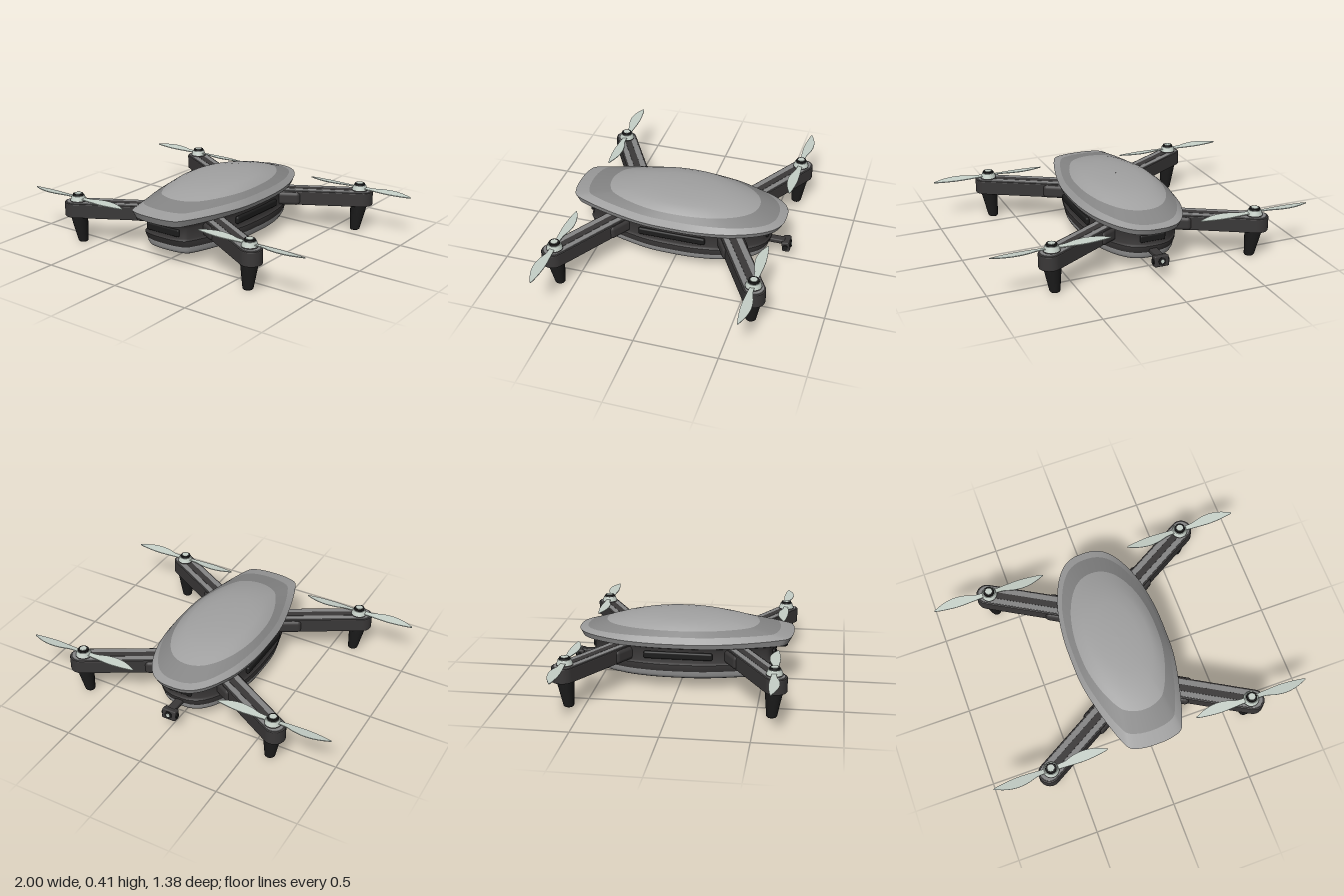
import * as THREE from 'three';
import { RoundedBoxGeometry } from 'three/addons/geometries/RoundedBoxGeometry.js';

const mat = (color, side = THREE.FrontSide) => new THREE.MeshStandardMaterial({ color, side });
const shellGrey = mat(0x9c9c9c), bandGrey = mat(0x858585), centreGrey = mat(0xa2a2a2);
const dark = mat(0x3a3838), black = mat(0x1c1c1c), pale = mat(0xc6d0c8, THREE.DoubleSide);

function add(parent, name, geometry, material, x = 0, y = 0, z = 0) {
  const mesh = new THREE.Mesh(geometry, material);
  mesh.name = name;
  mesh.position.set(x, y, z);
  parent.add(mesh);
  return mesh;
}

// Plan outline of the hull, blunt at the front and rounder at the back, scaled to +-1
const half = [[0, .683], [.1, .675], [.165, .648], [.19, .6], [.225, .5], [.27, .33], [.3, .17], [.307, 0],
  [.304, -.15], [.28, -.32], [.25, -.42], [.2, -.53], [.14, -.605], [.075, -.64], [0, -.648]];
const loop = [...half, ...half.slice(1, -1).reverse().map(([x, z]) => [-x, z])];
const outline = new THREE.CatmullRomCurve3(
  loop.map(([x, z]) => new THREE.Vector3(x / .307, 0, z > 0 ? z / .683 : z / .648)), true, 'centripetal'
).getPoints(112).slice(0, -1);

// Skin through rings, listed upwards: [half width, front z, back z, y at middle, front, back, ellipse blend]
function loft(rings) {
  const pos = [], index = [], n = outline.length;
  rings.forEach(([hw, zf, zb, ym, yf = ym, yb = ym, e = 0], r) => {
    outline.forEach((p, i) => {
      const k = THREE.MathUtils.lerp(1, 1 / Math.hypot(p.x, p.z), e), u = p.x * k, v = p.z * k;
      pos.push(u * hw, ym + ((v > 0 ? yf : yb) - ym) * v * v, v > 0 ? v * zf : -v * zb);
      if (r === rings.length - 1) return;
      const a = r * n + i, b = r * n + (i + 1) % n;
      index.push(a, b, b + n, a, b + n, a + n);
    });
  });
  const g = new THREE.BufferGeometry();
  g.setAttribute('position', new THREE.Float32BufferAttribute(pos, 3));
  g.setIndex(index);
  g.computeVertexNormals();
  return g;
}

function buildBody() {
  const body = new THREE.Group();
  body.name = 'body';
  // Upper canopy in three bands with sharp seams between them
  const lip = [.308, .685, -.65, .295, .315, .3];
  const shoulder = [.284, .6, -.6, .333, .335, .312, .15];
  const crown = [.25, .47, -.48, .362, .363, .353, .6];
  const under = [.295, .662, -.63, .265, .27, .262];
  add(body, 'canopyUnderside', loft([[.001, .001, -.001, .25], [.26, .58, -.56, .25], under]), dark);
  add(body, 'canopyRim', loft([under, lip]), shellGrey);
  add(body, 'canopyOuterBand', loft([lip, shoulder]), shellGrey);
  add(body, 'canopyMiddleBand', loft([shoulder, crown]), bandGrey);
  add(body, 'canopyTop', loft([crown, [.225, .41, -.42, .381, .378, .37, .75], [.19, .33, -.34, .397, .393, .389, .9],
    [.13, .23, -.24, .407, .406, .405, 1], [.06, .1, -.1, .411, .411, .411, 1], [.001, .001, -.001, .412]]), centreGrey);

  // Lower hull: dark belly plate, light strip and dark side wall
  const bellyEdge = [.25, .53, -.515, .065], stripTop = [.278, .562, -.55, .115];
  add(body, 'belly', loft([[.001, .001, -.001, .065], bellyEdge]), black);
  add(body, 'lowerTrim', loft([bellyEdge, [.264, .548, -.535, .073], [.273, .557, -.545, .09], stripTop]), shellGrey);
  add(body, 'sideWall', loft([stripTop, [.284, .572, -.56, .135], [.284, .582, -.565, .158]]), dark);
  add(body, 'upperWall', loft([[.284, .582, -.565, .158], [.272, .572, -.555, .17], [.272, .572, -.555, .235],
    [.28, .6, -.575, .262]]), dark);

  // Raised pads on the sides, intake at the front
  for (const s of [1, -1])
    add(body, 'sidePad', new RoundedBoxGeometry(.026, .046, .42, 4, .012), black, s * .27, .213, 0);
  add(body, 'frontIntake', new RoundedBoxGeometry(.24, .045, .02, 3, .009), black, 0, .205, .568);
  add(body, 'rearPanel', new RoundedBoxGeometry(.16, .045, .02, 3, .009), black, 0, .205, -.548);
  return body;
}

function buildCamera() {
  const camera = new THREE.Group();
  camera.name = 'camera';
  add(camera, 'cameraBracket', new RoundedBoxGeometry(.05, .03, .13, 2, .008), dark, 0, .125, -.585);
  const head = new THREE.Group();
  head.name = 'cameraHead';
  head.position.set(0, .106, -.66);
  head.rotation.x = .15;
  add(head, 'cameraHousing', new RoundedBoxGeometry(.09, .066, .046, 3, .008), dark);
  const ring = add(head, 'lensRing', new THREE.CylinderGeometry(.023, .023, .008, 24), black, 0, 0, -.024);
  const lens = add(head, 'lens', new THREE.CylinderGeometry(.011, .011, .004, 20), pale, 0, 0, -.0275);
  ring.rotation.x = lens.rotation.x = Math.PI / 2;
  for (const s of [1, -1]) {
    const pivot = add(head, 'cameraPivot', new THREE.CylinderGeometry(.016, .016, .012, 20), black, s * .045, 0, 0);
    pivot.rotation.z = Math.PI / 2;
  }
  camera.add(head);
  return camera;
}

// Flat bar with a round outer end, lying along local x
function barGeometry(x0, x1, r, height) {
  const s = new THREE.Shape();
  s.moveTo(x0, -r);
  s.lineTo(x1, -r);
  s.absarc(x1, 0, r, -Math.PI / 2, Math.PI / 2, false);
  s.lineTo(x0, r);
  s.closePath();
  const bevel = Math.min(.006, height / 4);
  const g = new THREE.ExtrudeGeometry(s, { depth: height - 2 * bevel, curveSegments: 16,
    bevelSize: bevel, bevelThickness: bevel, bevelOffset: -bevel, bevelSegments: 2 });
  return g.rotateX(-Math.PI / 2).translate(0, bevel, 0);
}

// One blade; the sign picks the turning direction
function bladeGeometry(sign) {
  const edge = [[.02, -.013], [.1, -.018], [.2, -.022], [.29, -.015], [.356, -.003],
    [.34, .01], [.28, .032], [.215, .041], [.15, .034], [.09, .017], [.02, .013]];
  const s = new THREE.Shape();
  s.moveTo(edge[0][0], sign * edge[0][1]);
  s.splineThru(edge.slice(1).map(([x, y]) => new THREE.Vector2(x, sign * y)));
  const g = new THREE.ExtrudeGeometry(s, { depth: .005, bevelEnabled: false, curveSegments: 50 });
  g.rotateX(Math.PI / 2);
  // Slight pitch across the blade
  const p = g.attributes.position;
  for (let i = 0; i < p.count; i++) p.setY(i, p.getY(i) + sign * p.getZ(i) * .12);
  g.computeVertexNormals();
  return g;
}

function buildCorner(sx, sz) {
  const corner = new THREE.Group();
  corner.name = (sz > 0 ? 'front' : 'rear') + (sx > 0 ? 'Left' : 'Right') + 'Rotor';
  const mx = sx * .643, mz = sz * .603;

  // Arm with a pale top and a dark centre groove
  const arm = new THREE.Group();
  arm.name = 'arm';
  arm.position.set(mx, 0, mz);
  arm.rotation.y = Math.atan2(-sz * .5, sx * .87);
  add(arm, 'armBeam', barGeometry(-.56, .018, .066, .09), dark, 0, .168, 0);
  add(arm, 'armTop', barGeometry(-.5, .016, .055, .008), bandGrey, 0, .254, 0);
  add(arm, 'armGroove', barGeometry(-.5, -.02, .021, .006), dark, 0, .2575, 0);
  add(arm, 'armRoot', new RoundedBoxGeometry(.2, .088, .16, 3, .025), dark, -.47, .21, 0);
  corner.add(arm);

  // Tapered landing leg leaning slightly inward
  const leg = new THREE.LatheGeometry([[0, 0], [.026, 0], [.031, .006], [.052, .16], [.054, .18]]
    .map(([x, y]) => new THREE.Vector2(x, y)), 32);
  const lp = leg.attributes.position;
  for (let i = 0; i < lp.count; i++) {
    const drop = 1 - lp.getY(i) / .18;
    lp.setX(i, lp.getX(i) - sx * .018 * drop);
    lp.setZ(i, lp.getZ(i) - sz * .012 * drop);
  }
  add(corner, 'landingLeg', leg, black, mx, 0, mz);

  // Motor, hub and cap
  add(corner, 'motorBase', new THREE.CylinderGeometry(.046, .05, .016, 32), dark, mx, .264, mz);
  add(corner, 'propellerHub', new THREE.CylinderGeometry(.038, .048, .028, 32), pale, mx, .283, mz);
  add(corner, 'hubCap', new THREE.CylinderGeometry(.031, .034, .011, 32), black, mx, .302, mz);
  add(corner, 'hubButton', new THREE.CylinderGeometry(.021, .021, .004, 24), pale, mx, .308, mz);

  // Two-bladed propeller
  for (const turn of [0, Math.PI]) {
    const blade = add(corner, 'propellerBlade', bladeGeometry(sx * sz), pale, mx, .282, mz);
    blade.rotation.y = turn;
  }
  return corner;
}

export function createModel() {
  const model = new THREE.Group();
  model.name = 'quadcopter';
  model.add(buildBody(), buildCamera());
  for (const sx of [1, -1]) for (const sz of [1, -1]) model.add(buildCorner(sx, sz));
  return model;
}
